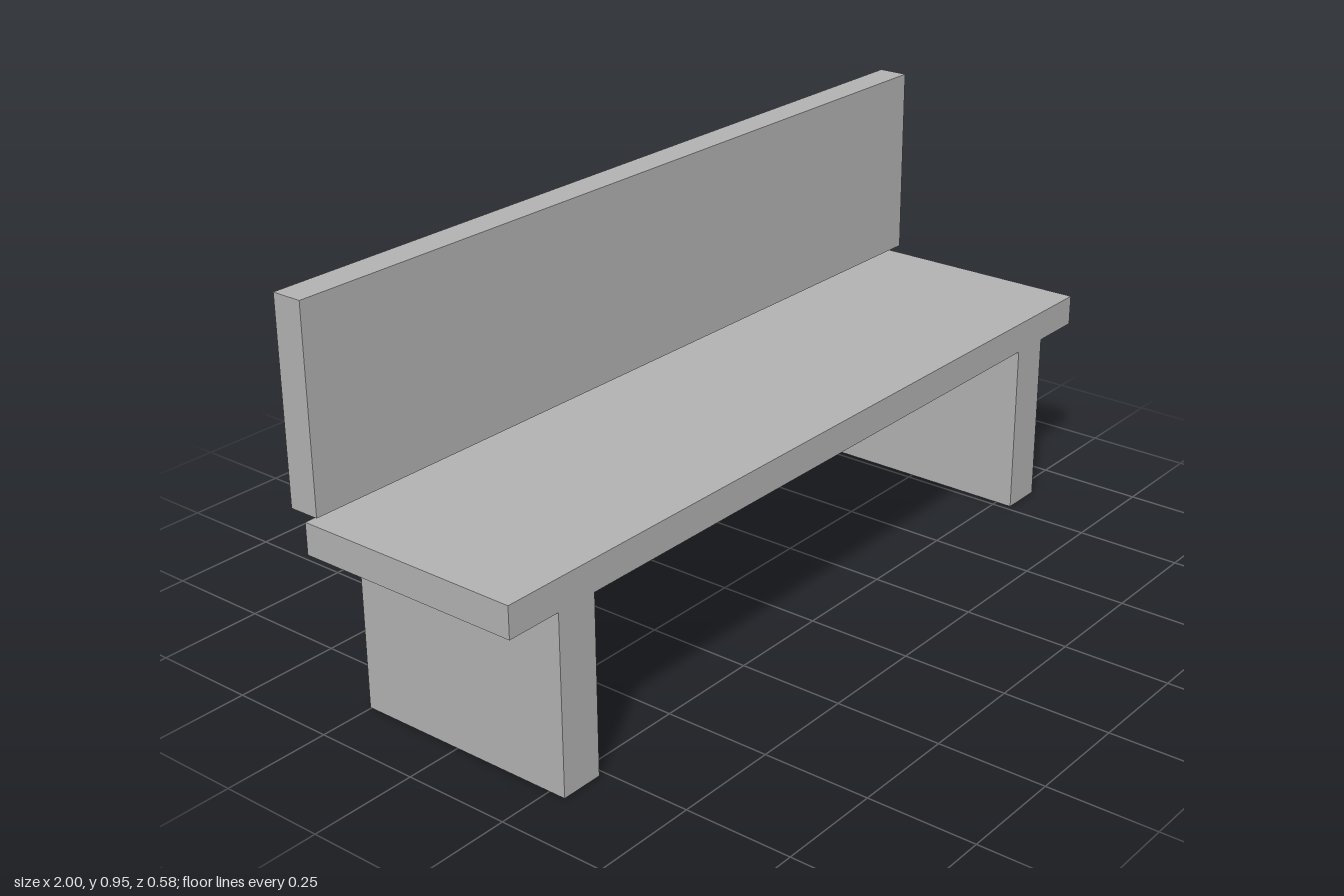
import * as THREE from 'three';

export function createModel() {
  const bench = new THREE.Group();
  bench.name = 'bench';
  const stone = new THREE.MeshStandardMaterial({ color: 0xb2b2b2 });
  stone.name = 'grey stone';

  // Seat slab and two slab legs as one continuous profile, extruded front to back
  const seatTop = 0.483, seatBottom = 0.411, legOuter = 0.867, legInner = 0.765;
  const half = [
    [0, seatBottom], [legInner, seatBottom], [legInner, 0], [legOuter, 0],
    [legOuter, seatBottom], [1, seatBottom], [1, seatTop],
  ];
  const mirrored = half.slice(1).reverse().map(([x, y]) => [-x, y]);
  const profile = new THREE.Shape([...half.slice(1), ...mirrored].map(([x, y]) => new THREE.Vector2(x, y)));
  const front = 0.29, rear = -0.253;
  const seatGeometry = new THREE.ExtrudeGeometry(profile, { depth: front - rear, bevelEnabled: false });
  seatGeometry.translate(0, 0, rear);
  const seat = new THREE.Mesh(seatGeometry, stone);
  seat.name = 'seatAndLegs';
  bench.add(seat);

  // Backrest board, raised slightly above the seat and overhanging its rear edge
  const backrest = new THREE.Mesh(new THREE.BoxGeometry(2, 0.453, 0.072), stone);
  backrest.name = 'backrest';
  backrest.position.set(0, 0.7285, -0.254);
  bench.add(backrest);

  return bench;
}
